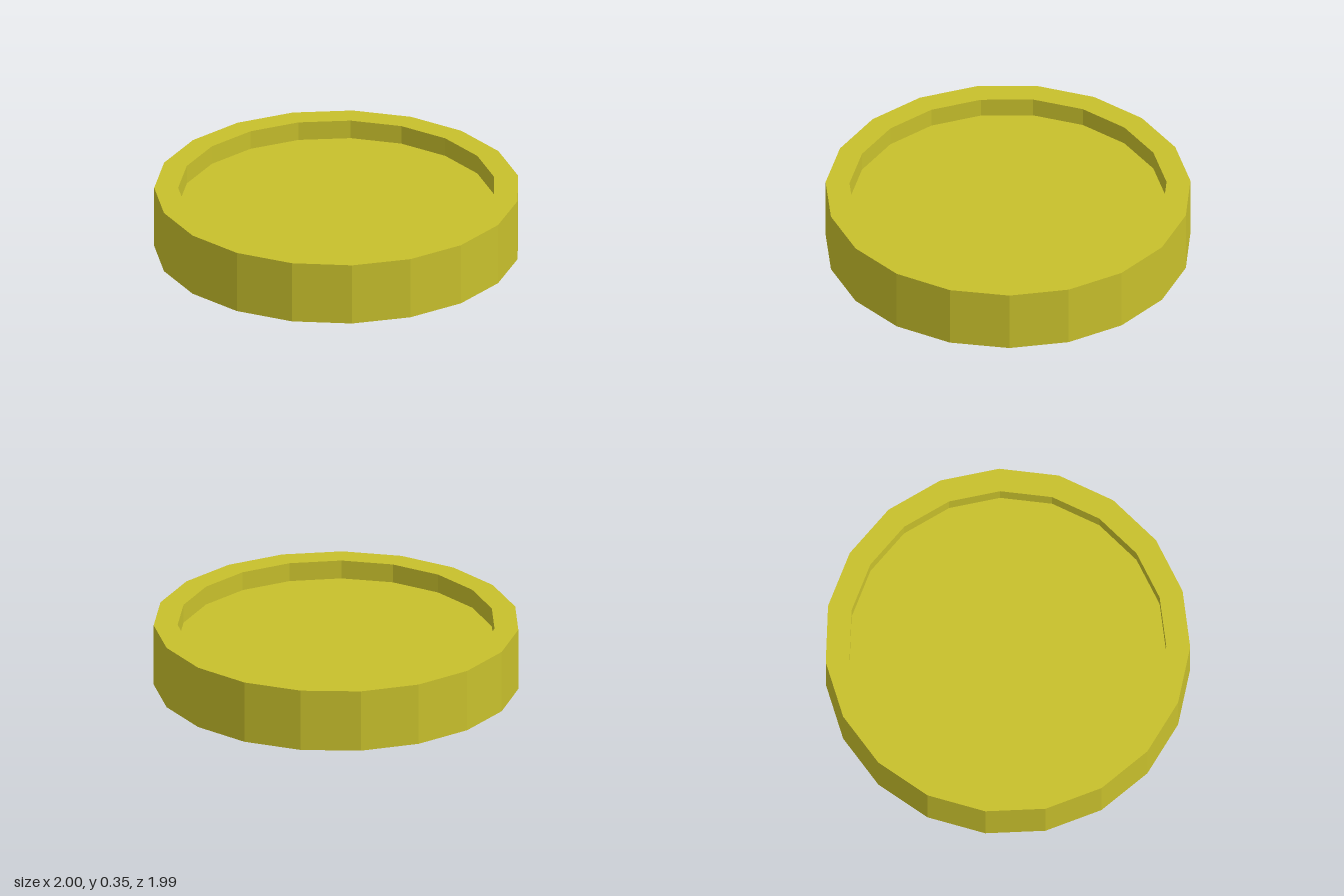
import * as THREE from 'three';

const SIDES = 19;
const OUTER = 1.0034, INNER = 0.872;
const HEIGHT = 0.352, RECESS = 0.106;

export function createModel() {
  const group = new THREE.Group();
  group.name = 'shallowDish';
  const material = new THREE.MeshStandardMaterial({ color: 0xc8c02c, flatShading: true });

  const add = (name, geometry) => {
    const flat = geometry.toNonIndexed();
    flat.computeVertexNormals();
    const mesh = new THREE.Mesh(flat, material);
    mesh.name = name;
    group.add(mesh);
    return mesh;
  };

  // Raised rim: inner wall below the plate, round the outside, inner wall above it
  const profile = [
    [INNER, RECESS], [INNER, 0], [OUTER, 0],
    [OUTER, HEIGHT], [INNER, HEIGHT], [INNER, HEIGHT - RECESS],
  ].map(([r, y]) => new THREE.Vector2(r, y));
  add('rim', new THREE.LatheGeometry(profile, SIDES, Math.PI));

  // Plate set into the rim, recessed on both faces
  const plate = new THREE.CylinderGeometry(
    INNER, INNER, HEIGHT - 2 * RECESS, SIDES, 1, false, Math.PI);
  add('plate', plate).position.y = HEIGHT / 2;

  // One corner points back, so shift the odd-sided outline to centre its depth
  group.position.z = OUTER * (1 - Math.cos(Math.PI / SIDES)) / 2;
  return group;
}
